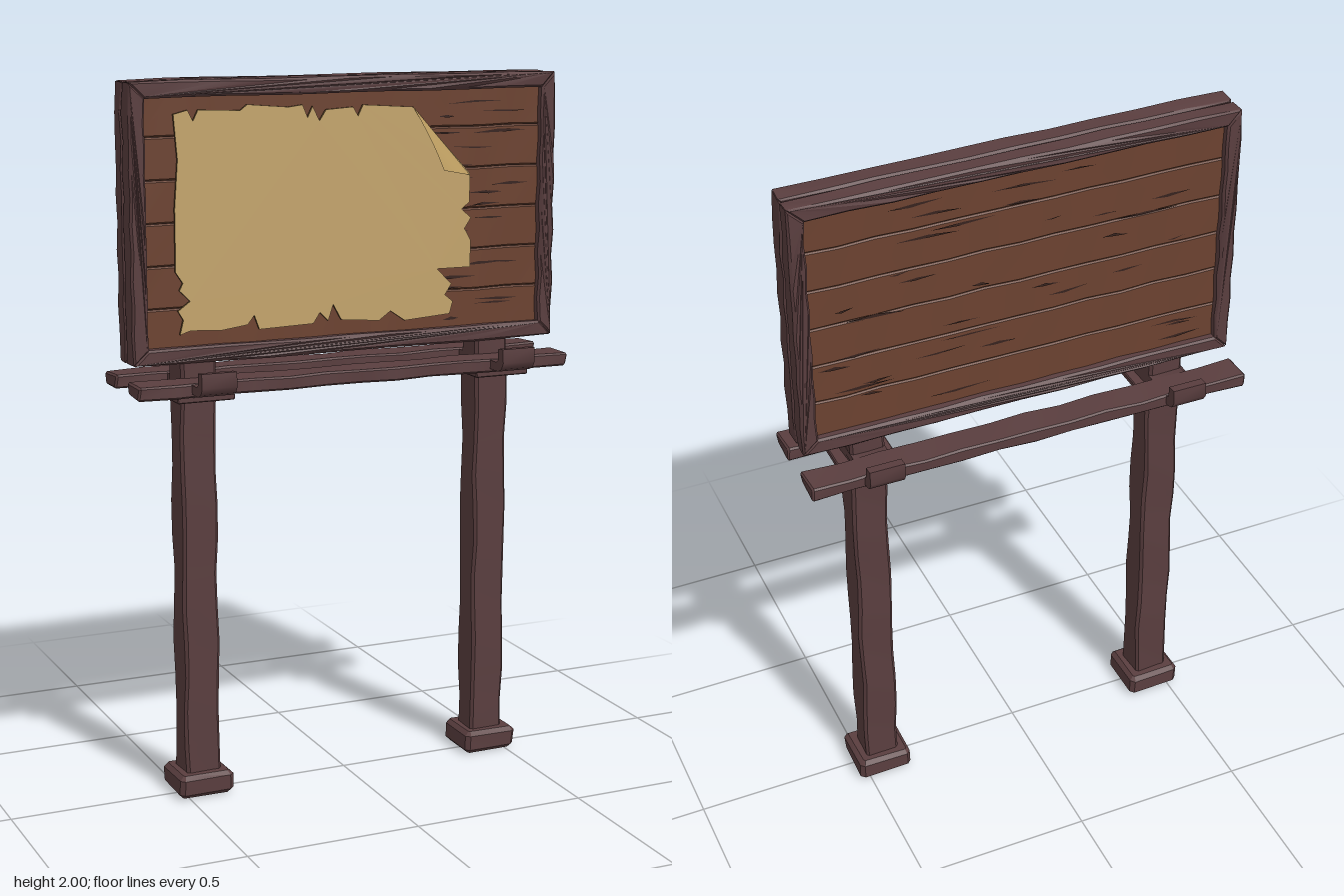
import * as THREE from 'three';
import { toCreasedNormals } from 'three/addons/utils/BufferGeometryUtils.js';

const mat = (name, color, side = THREE.FrontSide) => {
  const m = new THREE.MeshStandardMaterial({ color, side });
  m.name = name;
  return m;
};

export function createModel() {
  const model = new THREE.Group();
  model.name = 'noticeBoard';

  const timber = mat('darkTimber', 0x5a3e3f);
  const board = mat('brownBoard', 0x6c4230);
  const crack = mat('crackBrown', 0x37231f, THREE.DoubleSide);
  const paper = mat('oldPaper', 0xc4a56c);
  const paperBack = mat('paperUnderside', 0xbb9c60, THREE.DoubleSide);
  const paperEdge = mat('paperEdge', 0x6b5330);

  let seed = 7;
  const rand = () => (seed = (seed * 16807) % 2147483647) / 2147483647;

  // Hand-hewn unevenness: nudge each vertex by a rule of its position
  const rough = (geo, amp) => {
    const p = geo.attributes.position;
    for (let i = 0; i < p.count; i++) {
      const x = p.getX(i), y = p.getY(i), z = p.getZ(i);
      p.setXYZ(i,
        x + amp * Math.sin(y * 47 + z * 31 + x * 5),
        y + amp * 0.6 * Math.sin(x * 39 + z * 53),
        z + amp * Math.sin(y * 41 + x * 29 + 2));
    }
    return toCreasedNormals(geo, 0.5);
  };

  const add = (name, geo, material, parent = model) => {
    const mesh = new THREE.Mesh(geo, material);
    mesh.name = name;
    parent.add(mesh);
    return mesh;
  };

  // Chamfered beam centred on (x, y, z), running along the given axis
  const beam = (w, h, len, axis, [x, y, z], bevel = 0.008, amp = 0.003, steps = 12) => {
    const a = w / 2 - bevel, b = h / 2 - bevel, c = bevel * 0.4;
    const shape = new THREE.Shape([
      [a, b - c], [a - c, b], [c - a, b], [-a, b - c],
      [-a, c - b], [c - a, -b], [a - c, -b], [a, c - b],
    ].map(([u, v]) => new THREE.Vector2(u, v)));
    const geo = new THREE.ExtrudeGeometry(shape, {
      depth: len - 2 * bevel, steps, bevelSize: bevel, bevelThickness: bevel, bevelSegments: 1,
    });
    geo.translate(0, 0, bevel - len / 2);
    if (axis === 'y') geo.rotateX(-Math.PI / 2);
    if (axis === 'x') geo.rotateY(Math.PI / 2);
    geo.translate(x, y, z);
    return rough(geo, amp);
  };

  // Posts, feet, cap plates and the hooked brackets carrying the rails
  for (const [side, s] of [['left', 1], ['right', -1]]) {
    const x = s * 0.449, z = -0.007;
    add(side + 'Post', beam(0.102, 0.094, 1.21, 'y', [x, 0.645, z]), timber);
    add(side + 'Foot', beam(0.16, 0.155, 0.066, 'y', [x, 0.035, z], 0.012, 0.002, 1), timber);
    add(side + 'CapPlate', beam(0.165, 0.22, 0.018, 'y', [x, 1.153, z], 0.003, 0.001, 1), timber);

    const half = [[0.16, 1.198], [0.17, 1.205], [0.172, 1.238], [0.2, 1.24], [0.203, 1.2], [0.192, 1.182], [0.172, 1.173]];
    const outline = [...half, ...half.map(([u, v]) => [-u, v]).reverse()];
    const hook = new THREE.ExtrudeGeometry(
      new THREE.Shape(outline.map(([u, v]) => new THREE.Vector2(u, v))), { depth: 0.1, bevelEnabled: false });
    hook.rotateY(-Math.PI / 2).translate(x + 0.05, 0, 0);
    add(side + 'HookBracket', toCreasedNormals(hook, 0.7), timber);
  }

  // Long rails in front of and behind the posts
  add('frontRail', beam(0.094, 0.038, 1.296, 'x', [0, 1.182, 0.078], 0.005), timber);
  add('backRail', beam(0.09, 0.038, 1.296, 'x', [0, 1.182, -0.115], 0.005), timber);

  // Mitred frames, front and back, with a thin core closing the joint
  const cy = 1.62, hw = 0.637, hh = 0.379, t = 0.045;
  const frame = (name, z0, z1) => {
    const group = new THREE.Group();
    group.name = name;
    model.add(group);
    ['top', 'left', 'bottom', 'right'].forEach((part, k) => {
      const [L, off] = k % 2 ? [hh, hw] : [hw, hh];
      const b = 0.006, n = 10, pts = [];
      for (let i = 0; i <= n; i++) pts.push(new THREE.Vector2((2 * i / n - 1) * (L - 2 * b), off - b));
      for (let i = n; i >= 0; i--) pts.push(new THREE.Vector2((2 * i / n - 1) * (L - t), off - t + b));
      const geo = new THREE.ExtrudeGeometry(new THREE.Shape(pts), {
        depth: z1 - z0 - 2 * b, bevelSize: b, bevelThickness: b, bevelSegments: 1,
      });
      geo.rotateZ(-k * Math.PI / 2).translate(0, cy, z0 + b);
      add(part + 'FrameBar', rough(geo, 0.002), timber, group);
    });
  };
  frame('frontFrame', -0.011, 0.051);
  frame('backFrame', -0.07, -0.015);
  add('frameCore', new THREE.BoxGeometry(1.25, 0.735, 0.03).translate(0, cy, -0.013), timber);

  // Horizontal board planks over a dark backing
  add('boardBacking', new THREE.BoxGeometry(1.2, 0.69, 0.062).translate(0, cy, -0.01), crack);
  const rows = 6, rowH = 0.69 / rows;
  for (let i = 0; i < rows; i++) {
    const y = cy - 0.345 + rowH * (i + 0.5);
    add('boardPlank', beam(0.074, rowH - 0.001, 1.21, 'x', [0, y, -0.01], 0.004, 0.002), board);
  }

  // Tapered wood cracks on both faces of the board
  const cracks = (name, z, count, xMin, xMax) => {
    const shapes = [];
    for (let i = 0; i < count; i++) {
      const len = 0.05 + rand() * 0.14, h = 0.002 + rand() * 0.003;
      const x = xMin + rand() * (xMax - xMin - len), y = cy - 0.32 + 0.64 * (i + rand()) / count;
      const tilt = (rand() - 0.5) * 0.015;
      shapes.push(new THREE.Shape([[x, y], [x + len * 0.6, y - h + tilt], [x + len, y + tilt], [x + len * 0.5, y + h + tilt]]
        .map(([u, v]) => new THREE.Vector2(u, v))));
    }
    add(name, new THREE.ShapeGeometry(shapes).translate(0, 0, z), crack);
  };
  cracks('frontCracks', 0.0295, 24, 0.2, 0.58);
  cracks('backCracks', -0.0495, 34, -0.58, 0.58);

  // Torn paper sheet, outline in hundredths of a unit
  const sheet = [
    [-51, 191], [-47, 192], [-45.5, 189], [-44, 192], [-32, 191.5], [-30, 193], [-18, 192], [-14, 192.5],
    [-12.5, 189], [-11, 192], [-9, 188], [-7, 191], [1, 191.5], [2.5, 189], [4, 192], [19, 191],
    [37, 172], [37, 164], [34.5, 162], [37.5, 159.5], [35.5, 156.5], [37.5, 153], [37.3, 145.5], [27, 145.5],
    [31.5, 141], [29.5, 138], [32, 136], [31, 132.5], [17, 131.5], [12.5, 134.5], [9, 132], [-2.5, 133],
    [-5, 137.5], [-6.5, 133], [-9, 135.5], [-11, 132.5], [-27, 132], [-28.5, 136], [-30.5, 133.5], [-38, 132.5],
    [-47, 133], [-50, 132], [-49, 136], [-50.5, 138.5], [-47, 141], [-50, 144], [-49, 146], [-51, 149],
    [-51, 166], [-50, 179],
  ].map(([u, v]) => new THREE.Vector2(u / 100, v / 100));
  const sheetGeo = new THREE.ExtrudeGeometry(new THREE.Shape(sheet), { depth: 0.008, bevelEnabled: false });
  add('paperSheet', sheetGeo.translate(0, 0, 0.034), [paper, paperEdge]);

  // Corner of the sheet curling forward from its fold line to a tip
  const foldA = new THREE.Vector3(0.19, 1.912, 0.042), foldB = new THREE.Vector3(0.37, 1.715, 0.042);
  const tip = new THREE.Vector3(0.255, 1.738, 0.11);
  const N = 8, pos = [], idx = [];
  for (let i = 0; i <= N; i++) {
    for (let j = 0; j <= N; j++) {
      const v = j / N;
      const p = foldA.clone().lerp(foldB, i / N).lerp(tip, v);
      p.z += 0.012 * Math.sin(v * Math.PI);
      pos.push(p.x, p.y, p.z);
      if (i < N && j < N) {
        const a = i * (N + 1) + j, b = a + N + 1;
        idx.push(a, a + 1, b, b, a + 1, b + 1);
      }
    }
  }
  idx.reverse();
  const curl = new THREE.BufferGeometry();
  curl.setAttribute('position', new THREE.Float32BufferAttribute(pos, 3));
  curl.setIndex(idx);
  curl.computeVertexNormals();
  add('curledCorner', curl, paperBack);

  return model;
}
